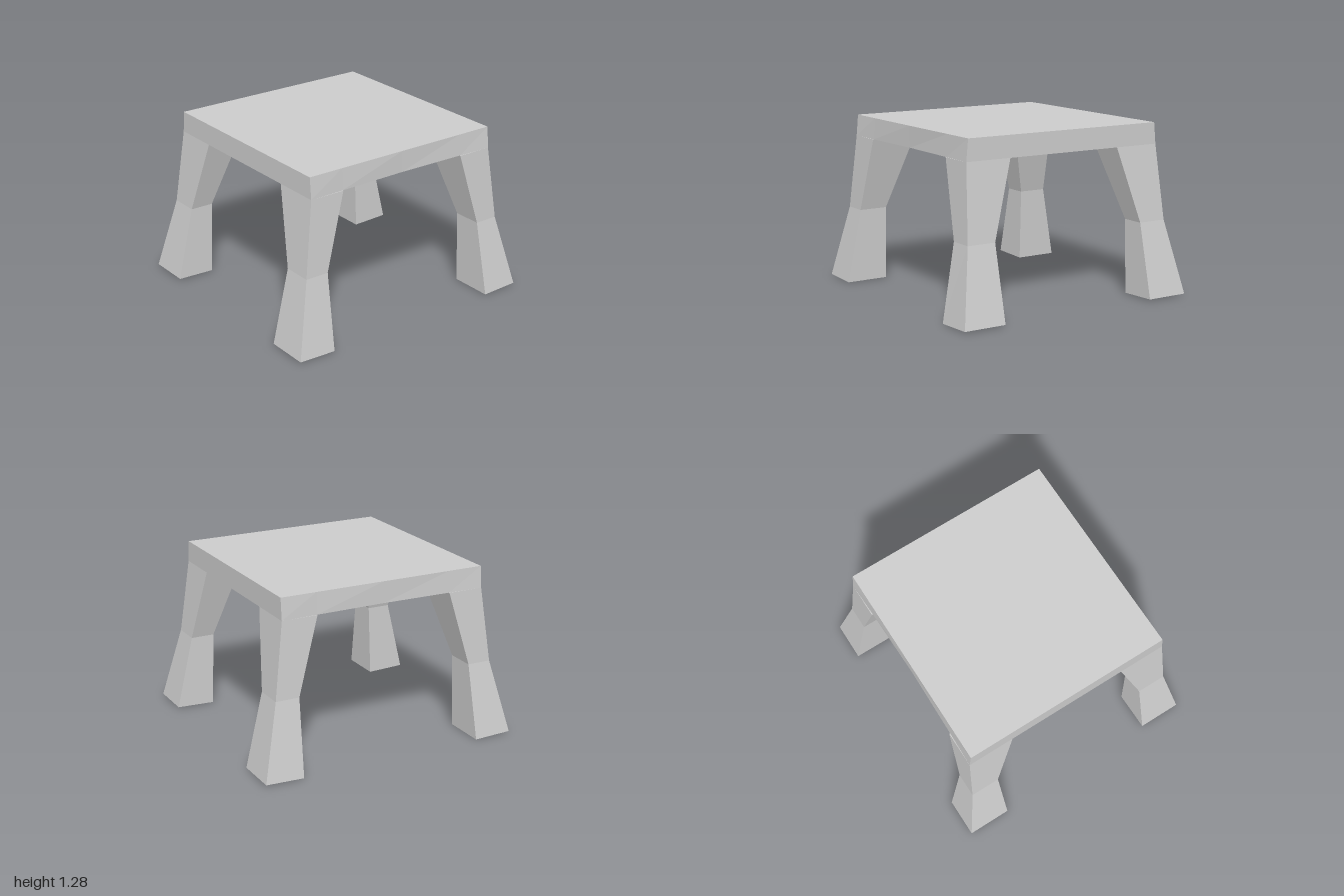
import * as THREE from 'three';

const material = new THREE.MeshStandardMaterial({ color: 0xcccccc, flatShading: true });

// Leg cross-sections from top to foot: height, then inner and outer limits in x and z
const SECTIONS = [
  { y: 1.12, x: [0.53, 0.8], z: [0.46, 0.815] },
  { y: 0.56, x: [0.69, 0.87], z: [0.63, 0.85] },
  { y: 0, x: [0.71, 1], z: [0.63, 0.955] },
];

// Move every vertex of a geometry by a rule
function reshape(geometry, rule) {
  const p = geometry.attributes.position;
  for (let i = 0; i < p.count; i++) p.setXYZ(i, ...rule(p.getX(i), p.getY(i), p.getZ(i)));
  geometry.computeVertexNormals();
  return geometry;
}

function makeMesh(name, geometry) {
  const mesh = new THREE.Mesh(geometry, material);
  mesh.name = name;
  return mesh;
}

// Splayed leg in the corner given by the signs sx, sz
function makeLeg(name, sx, sz) {
  const geometry = reshape(new THREE.BoxGeometry(2, 2, 2, 1, 2, 1), (x, y, z) => {
    const s = SECTIONS[1 - Math.round(y)];
    const outerX = x * sx > 0 ? 1 : 0;
    const outerZ = z * sz > 0 ? 1 : 0;
    // the foot's outer corner lifts slightly
    const lift = s.y === 0 && outerX ? 0.01 : 0;
    return [sx * s.x[outerX], s.y + lift, sz * s.z[outerZ]];
  });
  return makeMesh(name, geometry);
}

// Thick square top whose front and back faces flare out towards the legs
function makeTop() {
  const columns = [-0.8, -0.53, 0, 0.53, 0.8];
  const flare = [0.815, 0.808, 0.798, 0.808, 0.815];
  const geometry = reshape(new THREE.BoxGeometry(4, 2, 2, 4, 1, 1), (x, y, z) => {
    const i = Math.round(x) + 2;
    return [columns[i], y > 0 ? 1.28 : 1.12, Math.sign(z) * (y > 0 ? 0.8 : flare[i])];
  });
  return makeMesh('tableTop', geometry);
}

export function createModel() {
  const table = new THREE.Group();
  table.name = 'table';
  table.add(makeTop());
  for (const [sz, end] of [[1, 'front'], [-1, 'back']]) {
    for (const [sx, side] of [[1, 'Left'], [-1, 'Right']]) {
      table.add(makeLeg(`${end}${side}Leg`, sx, sz));
    }
  }
  return table;
}
